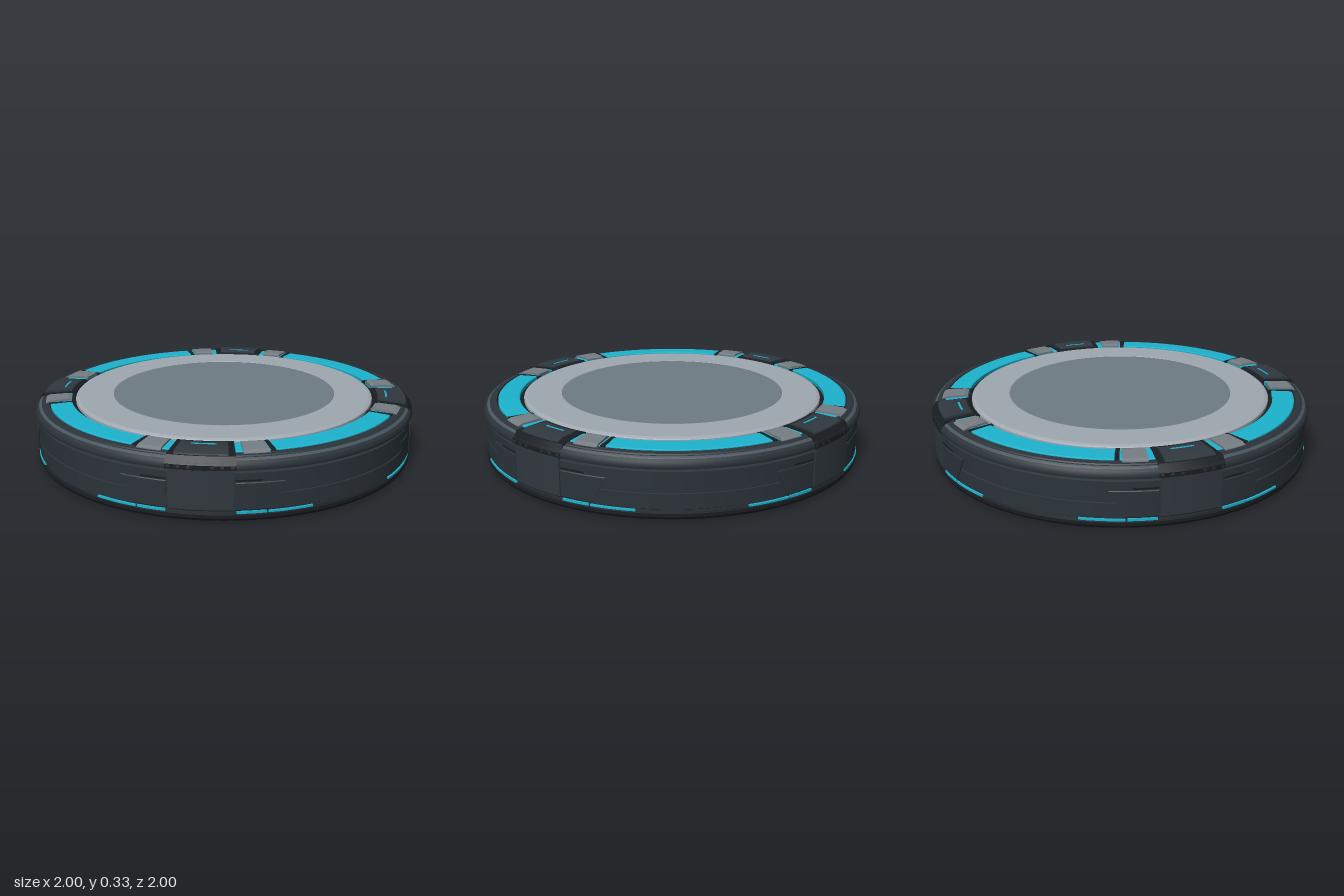
import * as THREE from 'three';
import { toCreasedNormals } from 'three/addons/utils/BufferGeometryUtils.js';

const DEG = Math.PI / 180;
const mat = (color) => new THREE.MeshStandardMaterial({ color });
const M = {
  body: mat(0x2b333a), dark: mat(0x191e22), panel: mat(0x30383f), trim: mat(0x4a555e),
  glow: mat(0x1cb3ce), ring: mat(0xa0a8b0), plate: mat(0x6e7c84), block: mat(0x757d83),
};

function add(group, name, geometry, material) {
  const mesh = new THREE.Mesh(geometry, material);
  mesh.name = name;
  group.add(mesh);
  return mesh;
}

// Full turned part from [radius, y] points, bottom to top
function turned(points, crease = 25) {
  const g = new THREE.LatheGeometry(points.map(([r, y]) => new THREE.Vector2(r, y)), 128);
  return toCreasedNormals(g, crease * DEG);
}

// Closed convex cross-section (counter-clockwise [r, y]) swept from a0 to a1 degrees.
// slant(y) returns [shift of start, shift of end] in degrees.
function sector(profile, a0, a1, slant = () => [0, 0]) {
  const n = Math.max(3, Math.ceil((a1 - a0) / 2.5));
  const m = profile.length, pos = [], idx = [];
  for (let i = 0; i <= n; i++) {
    for (const [r, y] of profile) {
      const [s0, s1] = slant(y);
      const a = (a0 + s0 + (a1 + s1 - a0 - s0) * i / n) * DEG;
      pos.push(r * Math.sin(a), y, r * Math.cos(a));
    }
  }
  for (let i = 0; i < n; i++) {
    for (let j = 0; j < m; j++) {
      const k = (j + 1) % m, a = i * m, b = a + m;
      idx.push(a + j, b + j, a + k, b + j, b + k, a + k);
    }
  }
  const e = n * m;
  for (let j = 1; j < m - 1; j++) idx.push(0, j, j + 1, e, e + j + 1, e + j);
  const g = new THREE.BufferGeometry();
  g.setAttribute('position', new THREE.Float32BufferAttribute(pos, 3));
  g.setIndex(idx);
  return toCreasedNormals(g, 20 * DEG);
}

const box = (r0, r1, y0, y1) => [[r0, y0], [r1, y0], [r1, y1], [r0, y1]];

export function createModel() {
  const model = new THREE.Group();
  model.name = 'roundPlatform';

  // Main drum with grooves and rounded rim
  add(model, 'baseFoot', turned([[0, 0], [0.965, 0], [0.988, 0.007], [0.996, 0.02],
    [0.996, 0.036], [0.984, 0.042]]), M.dark);
  add(model, 'drumWall', turned([[0.984, 0.042], [0.984, 0.052], [0.99, 0.056], [0.99, 0.129],
    [0.985, 0.131], [0.985, 0.135], [0.99, 0.137], [0.99, 0.234], [0.978, 0.239], [0.978, 0.246]]), M.body);
  add(model, 'upperRim', turned([[0.978, 0.246], [0.998, 0.25], [1, 0.256], [1, 0.268],
    [0.994, 0.281], [0.982, 0.291]]), M.body);
  add(model, 'rimTrim', turned([[0.982, 0.291], [0.976, 0.297], [0.968, 0.3]]), M.trim);
  add(model, 'rimTop', turned([[0.968, 0.3], [0.96, 0.3], [0.955, 0.305], [0.932, 0.31],
    [0.926, 0.295]]), M.body);
  add(model, 'channelFloor', turned([[0.926, 0.295], [0.78, 0.295]]), M.dark);

  // Central platform
  add(model, 'platformRing', turned([[0.79, 0.29], [0.79, 0.31], [0.786, 0.314], [0.772, 0.32],
    [0.592, 0.32], [0.59, 0.317]], 15), M.ring);
  add(model, 'platformPlate', turned([[0.59, 0.317], [0.587, 0.3195], [0, 0.3195]]), M.plate);

  const lightProfile = [[0.812, 0.29], [0.924, 0.29], [0.924, 0.31], [0.918, 0.313],
    [0.818, 0.316], [0.812, 0.313]];
  const blockProfile = [[0.812, 0.29], [0.945, 0.29], [0.945, 0.311], [0.925, 0.32],
    [0.83, 0.325], [0.812, 0.319]];

  for (let q = 0; q < 4; q++) {
    const quarter = new THREE.Group();
    quarter.name = 'quarter' + (q + 1);
    quarter.rotation.y = q * Math.PI / 2;
    model.add(quarter);

    // Long light arc
    add(quarter, 'lightArc', sector(lightProfile, -24.3, 24.3), M.glow);

    // Corner clamp over the rim
    add(quarter, 'clampFrame', sector([[0.795, 0.28], [0.99, 0.245], [1, 0.25], [1, 0.272],
      [0.975, 0.308], [0.81, 0.319], [0.795, 0.311]], 35.8, 54.2), M.dark);
    add(quarter, 'clampCover', sector([[0.82, 0.3], [0.97, 0.3], [0.965, 0.315], [0.94, 0.323],
      [0.835, 0.325], [0.82, 0.32]], 37.7, 52.3), M.panel);
    add(quarter, 'clampLight', sector(box(0.858, 0.868, 0.315, 0.3262), 41.2, 48.8), M.glow);
    add(quarter, 'clampSidePanel', sector([[0.97, 0.054], [0.992, 0.054], [0.996, 0.06],
      [0.996, 0.248], [0.97, 0.248]], 36.5, 53.5), M.panel);

    // Parts mirrored on each side of the clamp
    for (const side of [-1, 1]) {
      const span = (p, a, b, material, name, shift = 0) => {
        const lo = 45 + (side < 0 ? -b : a), hi = 45 + (side < 0 ? -a : b);
        const slant = (y) => {
          const s = shift * (y - 0.055);
          return side < 0 ? [-s, 0] : [0, s];
        };
        add(quarter, name, sector(p, lo, hi, slant), material);
      };
      span(lightProfile.map(([r, y]) => [r, y - 0.002]), 9.3, 19.2, M.glow, 'shortLight');
      span(blockProfile, 11.3, 18.6, M.block, 'greyBlock');
      span(box(0.8, 0.93, 0.29, 0.314), 19.2, 20.6, M.dark, 'lightDivider');
      // Low glow strips and wall panels
      span(box(0.97, 0.9945, 0.042, 0.054), 9.3, 17.2, M.glow, 'baseLight');
      span(box(0.97, 0.9945, 0.042, 0.051), 17.7, 30, M.glow, 'baseLight');
      span([[0.97, 0.058], [0.991, 0.058], [0.994, 0.062], [0.994, 0.186], [0.991, 0.19],
        [0.97, 0.19]], 9, 18, M.body, 'wallPanel', 30);
      span(box(0.97, 0.993, 0.195, 0.203), 9, 16, M.dark, 'wallSlot');
    }
  }
  return model;
}
